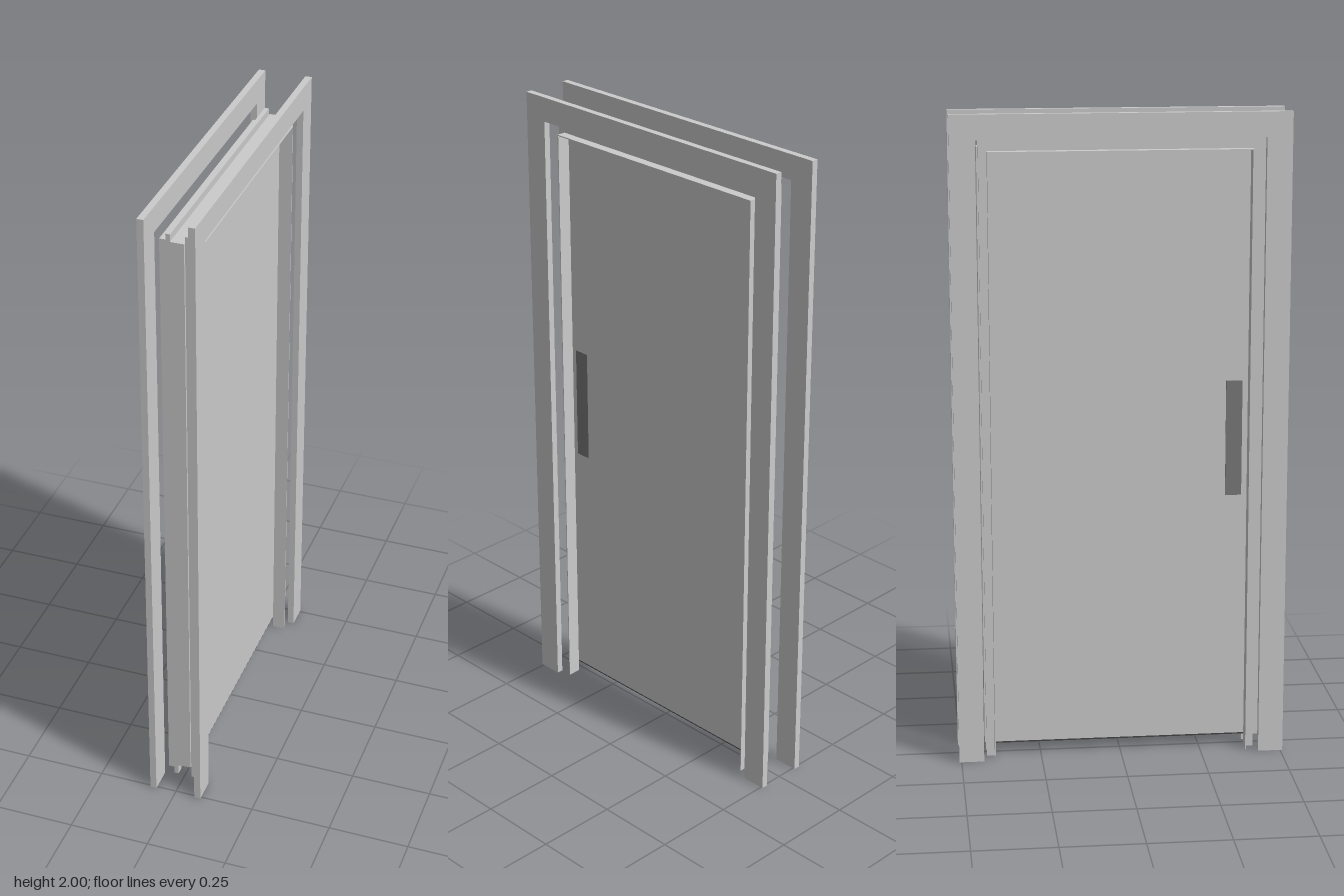
import * as THREE from 'three';

const grey = new THREE.MeshStandardMaterial({ color: 0xcccccc, flatShading: true, side: THREE.DoubleSide });
const dark = new THREE.MeshStandardMaterial({ color: 0x7a7a7a, flatShading: true });
const black = new THREE.MeshStandardMaterial({ color: 0x444444, flatShading: true });

function box(name, size, pos, material) {
  const mesh = new THREE.Mesh(new THREE.BoxGeometry(...size), material);
  mesh.position.set(...pos);
  mesh.name = name;
  return mesh;
}

// Upside-down U around the opening, standing on y = 0, spanning x0..x1
function surround(name, inner, innerTop, outer, outerTop, x0, x1) {
  const shape = new THREE.Shape([
    [-outer, 0], [-inner, 0], [-inner, innerTop], [inner, innerTop],
    [inner, 0], [outer, 0], [outer, outerTop], [-outer, outerTop],
  ].map(([u, v]) => new THREE.Vector2(u, v)));
  const geometry = new THREE.ExtrudeGeometry(shape, { depth: x1 - x0, bevelEnabled: false });
  geometry.rotateY(Math.PI / 2);
  geometry.translate(x0, 0, 0);
  const mesh = new THREE.Mesh(geometry, grey);
  mesh.name = name;
  return mesh;
}

export function createModel() {
  const model = new THREE.Group();
  model.name = 'door';

  // Door leaf with a seal along its lower edge
  model.add(box('doorLeaf', [0.041, 1.86, 0.85], [0, 0.97, 0], grey));
  model.add(box('bottomSeal', [0.038, 0.005, 0.84], [0, 0.0375, 0], black));

  // Frame and pull plate, the same on both faces of the door
  for (const side of [-1, 1]) {
    const frame = new THREE.Group();
    frame.name = side > 0 ? 'leftFrame' : 'rightFrame';
    frame.add(surround('casing', 0.43, 1.925, 0.507, 2, 0.063, 0.083));
    frame.add(surround('jambLining', 0.392, 1.885, 0.395, 1.888, 0.034, 0.063));
    frame.add(surround('doorStop', 0.392, 1.885, 0.42, 1.92, 0.0215, 0.035));
    frame.add(box('pullPlate', [0.004, 0.36, 0.05], [0.0215, 1, 0.35], dark));
    // Bake the mirroring as a half turn plus a z flip of the plate only
    if (side < 0) {
      frame.rotation.y = Math.PI;
      frame.getObjectByName('pullPlate').position.z *= -1;
    }
    model.add(frame);
  }
  return model;
}
